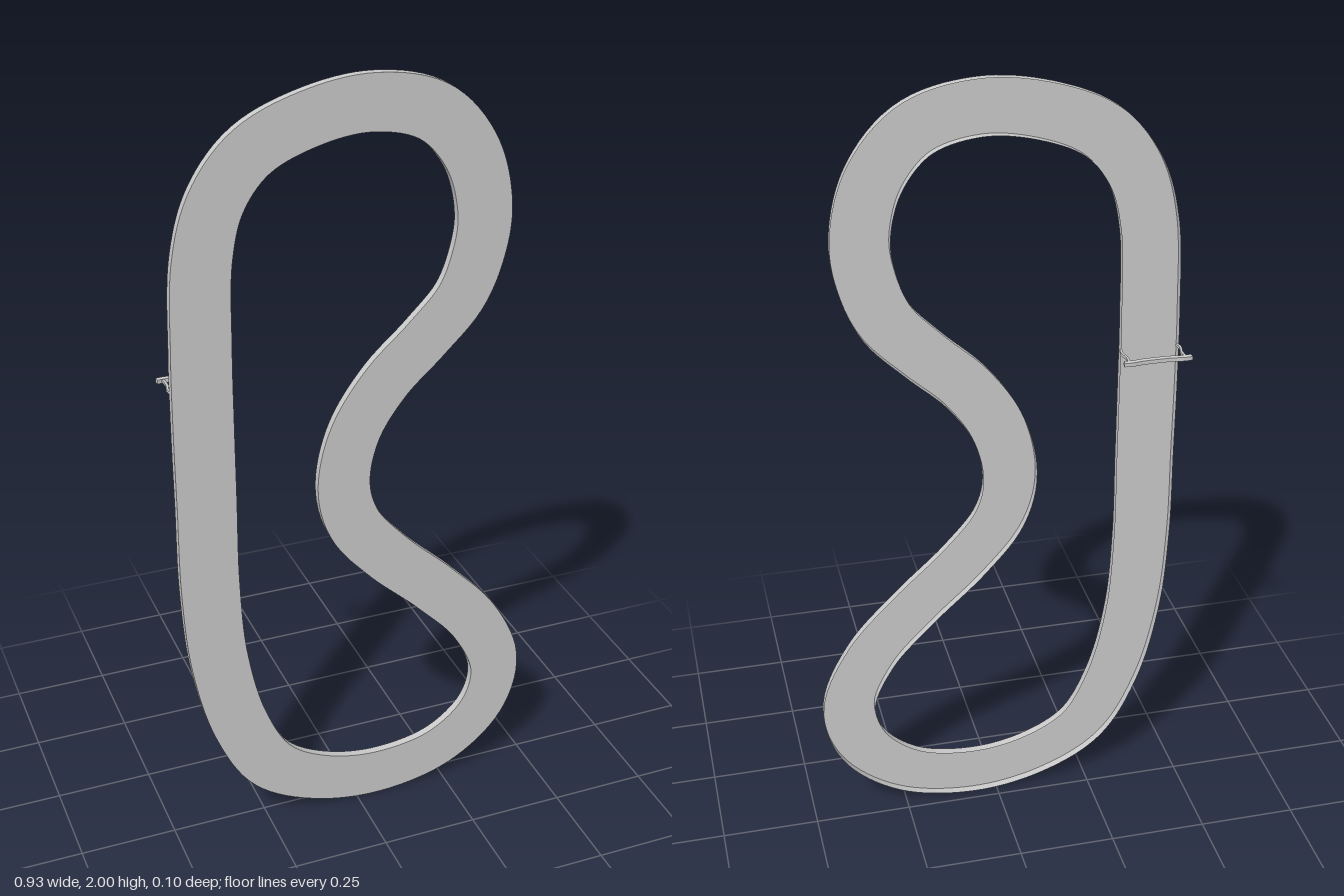
import * as THREE from 'three';

const material = new THREE.MeshStandardMaterial({ color: 0xcccccc, side: THREE.DoubleSide });

// Centreline of the circuit: x, y, half width
const path = [
  [-0.386, 1.0, 0.074], [-0.386, 1.2, 0.074], [-0.384, 1.39, 0.073], [-0.373, 1.62, 0.071],
  [-0.336, 1.75, 0.069], [-0.257, 1.85, 0.068], [-0.132, 1.908, 0.067], [0.032, 1.932, 0.067],
  [0.185, 1.892, 0.069], [0.28, 1.783, 0.07], [0.317, 1.64, 0.07], [0.303, 1.53, 0.07],
  [0.262, 1.43, 0.069], [0.175, 1.336, 0.068], [0.071, 1.237, 0.068], [-0.008, 1.115, 0.068],
  [-0.037, 0.975, 0.068], [-0.009, 0.862, 0.068], [0.079, 0.75, 0.068], [0.215, 0.62, 0.068],
  [0.331, 0.49, 0.068], [0.394, 0.34, 0.068], [0.36, 0.208, 0.068], [0.24, 0.106, 0.067],
  [0.061, 0.071, 0.068], [-0.106, 0.1, 0.069], [-0.238, 0.178, 0.071], [-0.32, 0.329, 0.072],
  [-0.37, 0.54, 0.073], [-0.386, 0.76, 0.074],
];
const FRONT = 0.048, RIM = 0.027, STEPS = 240;

// Edge lines on both sides of the centreline
function trackEdges() {
  const curve = new THREE.CatmullRomCurve3(path.map(p => new THREE.Vector3(...p)), true, 'centripetal');
  const edges = [];
  for (let i = 0; i <= STEPS; i++) {
    const p = curve.getPointAt((i % STEPS) / STEPS);
    const t = curve.getTangentAt((i % STEPS) / STEPS);
    const n = new THREE.Vector2(-t.y, t.x).normalize().multiplyScalar(p.z);
    edges.push([[p.x + n.x, p.y + n.y], [p.x - n.x, p.y - n.y]]);
  }
  return edges;
}

// Strip between two rails; each rail is [side, z]
function strip(name, edges, [sideA, zA], [sideB, zB]) {
  const position = [], index = [];
  edges.forEach((e, i) => {
    position.push(...e[sideA], zA, ...e[sideB], zB);
    if (i < STEPS) {
      const a = i * 2;
      index.push(a, a + 1, a + 2, a + 1, a + 3, a + 2);
    }
  });
  const geometry = new THREE.BufferGeometry();
  geometry.setAttribute('position', new THREE.Float32BufferAttribute(position, 3));
  geometry.setIndex(index);
  geometry.computeVertexNormals();
  const mesh = new THREE.Mesh(geometry, material);
  mesh.name = name;
  return mesh;
}

// Flat bar following a line in the x-z plane
function bar(name, points, width, height, y) {
  const line = new THREE.SplineCurve(points.map(p => new THREE.Vector2(...p)));
  const left = [], right = [];
  for (let i = 0; i <= 16; i++) {
    const p = line.getPoint(i / 16), t = line.getTangent(i / 16);
    const n = new THREE.Vector2(-t.y, t.x).multiplyScalar(width / 2);
    left.push(p.clone().add(n));
    right.unshift(p.clone().sub(n));
  }
  const geometry = new THREE.ExtrudeGeometry(new THREE.Shape([...left, ...right]), { depth: height, bevelEnabled: false });
  geometry.rotateX(Math.PI / 2);
  geometry.translate(0, y + height / 2, 0);
  const mesh = new THREE.Mesh(geometry, material);
  mesh.name = name;
  return mesh;
}

export function createModel() {
  const model = new THREE.Group();
  model.name = 'raceTrack';

  // Road surface with a low wall along each edge
  const edges = trackEdges();
  model.add(strip('road', edges, [1, FRONT], [0, FRONT]));
  model.add(strip('outerWall', edges, [0, FRONT], [0, RIM]));
  model.add(strip('innerWall', edges, [1, RIM], [1, FRONT]));

  // Start gate spanning the straight
  const gate = new THREE.Group();
  gate.name = 'startGate';
  const y = 1.297;
  gate.add(bar('gateBanner', [[-0.468, -0.045], [-0.45, -0.047], [-0.42, -0.043], [-0.383, -0.042],
    [-0.346, -0.043], [-0.316, -0.047], [-0.298, -0.045]], 0.013, 0.01, y));
  for (const side of [-1, 1]) {
    const x = -0.383 + side * 0.071;
    gate.add(bar('gatePost', [[x, 0.03], [x + side * 0.003, 0.008],
      [x - side * 0.002, -0.015], [x, -0.042]], 0.006, 0.007, y));
  }
  model.add(gate);
  return model;
}
